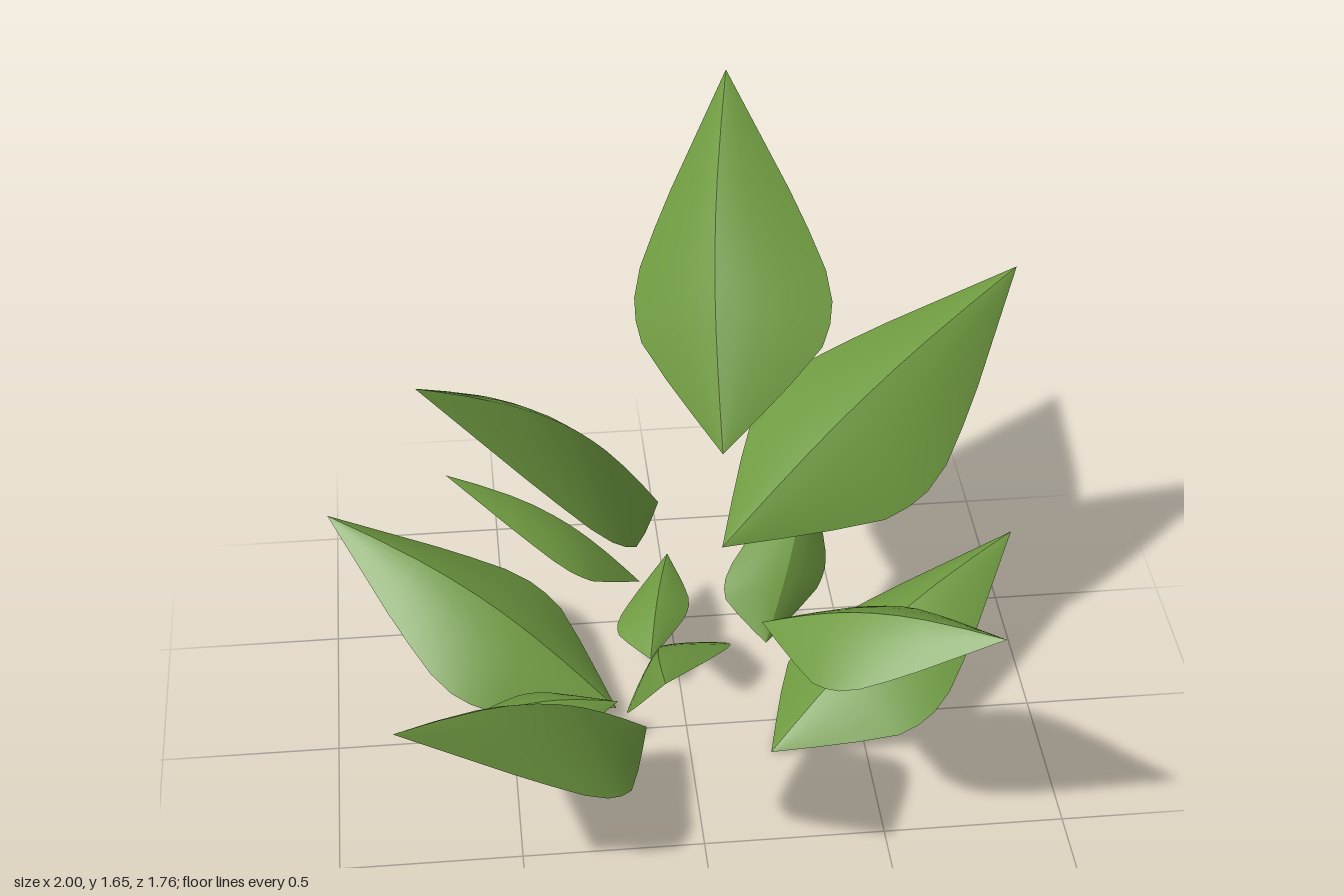
import * as THREE from 'three';

// Width profile along a leaf: [position from base to tip, share of full width]
const PROFILE = [[0, 0], [0.1, 0.32], [0.2, 0.63], [0.3, 0.91], [0.36, 0.98], [0.42, 1],
  [0.5, 0.94], [0.6, 0.78], [0.7, 0.6], [0.85, 0.3], [1, 0]];
const WIDEST = 0.42;
const COLUMNS = 5;

// One half of a leaf, swept from the arched midrib out to its edge
function leafHalf(base, tip, side, normal, flip) {
  const bow = 0.075 * base.distanceTo(tip);
  const reach = side.clone().sub(base.clone().lerp(tip, WIDEST));
  const pos = [], index = [];
  PROFILE.forEach(([t, width], i) => {
    for (let j = 0; j <= COLUMNS; j++) {
      const s = j / COLUMNS;
      const p = base.clone().lerp(tip, t)
        .addScaledVector(reach, width * s)
        .addScaledVector(normal, bow * Math.sin(Math.PI * t) * (1 - Math.pow(s, 1.5)));
      pos.push(p.x, p.y, p.z);
      if (i === 0 || j === 0) continue;
      const d = i * (COLUMNS + 1) + j, c = d - 1, b = d - COLUMNS - 1, a = b - 1;
      if (flip) index.push(a, c, b, b, c, d);
      else index.push(a, b, c, b, d, c);
    }
  });
  const geo = new THREE.BufferGeometry();
  geo.setAttribute('position', new THREE.Float32BufferAttribute(pos, 3));
  geo.setIndex(index);
  geo.computeVertexNormals();
  return geo;
}

// Each leaf: base, tip and the two widest points of its edge
const LEAVES = {
  topBackLeaf: [[0.11, 0.89, -0.09], [0.2, 1.65, -0.88], [-0.09, 1.1, -0.58], [0.44, 1.2, -0.35]],
  topRightLeaf: [[-0.08, 0.83, 0.03], [-0.71, 1.58, 0.53], [-0.5, 1.13, -0.04], [-0.24, 1.08, 0.53]],
  upperFrontLeaf: [[-0.08, 0.58, 0.35], [-0.14, 0.9, 0.88], [0.06, 0.74, 0.55], [-0.22, 0.62, 0.65]],
  upperLeftLeaf: [[0.11, 0.57, -0.09], [1, 1.15, -0.56], [0.7, 0.67, -0.16], [0.33, 0.82, -0.54]],
  frontLeftLeaf: [[0.18, 0.575, 0.26], [0.75, 0.83, 0.71], [0.55, 0.64, 0.31], [0.34, 0.61, 0.61]],
  middleRightLeaf: [[-0.13, 0.53, -0.01], [-0.65, 0.86, -0.11], [-0.38, 0.58, -0.17], [-0.33, 0.68, 0.12]],
  frontRightLeaf: [[-0.13, 0.16, 0.18], [-0.82, 0.7, 0.77], [-0.27, 0.29, 0.61], [-0.58, 0.29, 0.26]],
  lowerLeftLeaf: [[0.23, 0, 0.14], [1, 0.35, -0.37], [0.7, 0.09, 0.12], [0.4, 0.08, -0.28]],
  lowerRightLeaf: [[-0.2, 0.05, -0.04], [-1, 0.46, -0.5], [-0.42, 0.19, -0.48], [-0.67, 0.15, -0.03]],
  smallRightLeaf: [[-0.2, 0.15, 0.05], [-0.63, 0.2, 0.14], [-0.38, 0.138, 0.18], [-0.45, 0.16, 0]],
  smallBackLeaf: [[-0.09, 0.14, -0.14], [0, 0.185, -0.58], [-0.17, 0.12, -0.34], [0.045, 0.15, -0.37]],
  smallLeftLeaf: [[0.22, 0.33, 0.05], [0.39, 0.62, -0.41], [0.12, 0.46, -0.09], [0.42, 0.4, -0.19]],
};

export function createModel() {
  const model = new THREE.Group();
  model.name = 'foliage';
  const green = new THREE.MeshStandardMaterial({ color: 0x6f9a41, side: THREE.DoubleSide });
  green.name = 'leaf green';

  for (const [name, points] of Object.entries(LEAVES)) {
    const [base, tip, a, b] = points.map((p) => new THREE.Vector3(...p));
    const normal = tip.clone().sub(base).cross(b.clone().sub(a)).normalize();
    const turned = normal.y < 0; // keep the upper face outward
    if (turned) normal.negate();
    const leaf = new THREE.Group();
    leaf.name = name;
    [a, b].forEach((side, k) => {
      const half = new THREE.Mesh(leafHalf(base, tip, side, normal, (k === 1) !== turned), green);
      half.name = k ? 'secondHalf' : 'firstHalf';
      leaf.add(half);
    });
    model.add(leaf);
  }
  return model;
}
